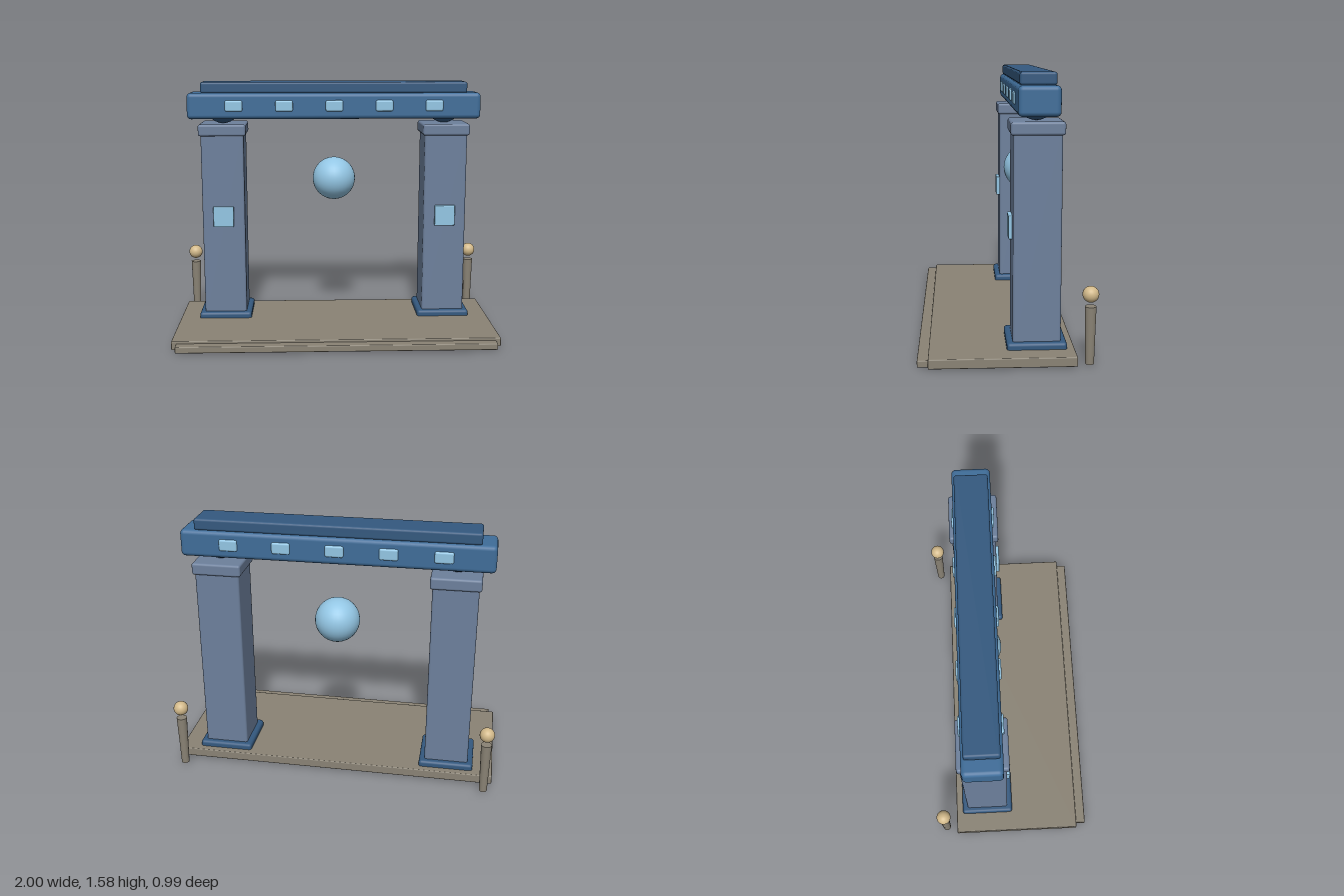
import * as THREE from 'three';
import { RoundedBoxGeometry } from 'three/addons/geometries/RoundedBoxGeometry.js';

const mat = (color) => new THREE.MeshStandardMaterial({ color });

export function createModel() {
  const group = new THREE.Group();
  const stone = mat(0x8a8375), pillar = mat(0x6d809c), beam = mat(0x3f6d99);
  const trim = mat(0x34597f), glow = mat(0x93c6e4), brass = mat(0xd2b98a), rug = mat(0x6f694c);

  const add = (name, geometry, material, x, y, z) => {
    const mesh = new THREE.Mesh(geometry, material);
    mesh.name = name;
    mesh.position.set(x, y, z);
    group.add(mesh);
    return mesh;
  };
  // Rounded block given by its limits on each axis
  const block = (name, material, [x0, x1], [y0, y1], [z0, z1], r = 0.008) =>
    add(name, new RoundedBoxGeometry(x1 - x0, y1 - y0, z1 - z0, 3, r), material,
      (x0 + x1) / 2, (y0 + y1) / 2, (z0 + z1) / 2);
  const ball = (name, material, r, x, y, z) =>
    add(name, new THREE.SphereGeometry(r, 32, 20), material, x, y, z);

  const Z = -0.17; // depth of the gate's centre line

  // Platform, front step and the inlay showing beneath
  block('platform', stone, [-1, 1], [0.01, 0.065], [-0.38, 0.43], 0.006);
  block('frontStep', stone, [-0.97, 0.97], [0.01, 0.05], [0.37, 0.49], 0.006);
  block('undersideInlay', rug, [-0.48, 0.42], [0.002, 0.03], [-0.04, 0.29], 0.002);

  for (const s of [-1, 1]) {
    const cx = 0.71 * s;
    const span = (w) => [cx - w / 2, cx + w / 2];
    const depth = (d) => [Z - d / 2, Z + d / 2];

    // Column with base, capital and glowing front panel
    block('columnFooting', trim, span(0.24), [0.002, 0.08], [-0.15, -0.03], 0.004);
    block('columnBase', trim, span(0.335), [0.04, 0.102], depth(0.335), 0.018);
    block('column', pillar, span(0.27), [0.09, 1.26], depth(0.268), 0.014);
    block('capital', pillar, span(0.298), [1.25, 1.323], depth(0.296), 0.014);
    block('columnPanel', glow, span(0.13), [0.668, 0.8], [-0.05, -0.015], 0.006);

    // Round bearing between capital and lintel
    ball('bearing', trim, 0.112, cx, 1.433, Z);

    // Rear lamp post
    add('lampPost', new THREE.CylinderGeometry(0.032, 0.024, 0.325, 20), stone, 0.95 * s, 0.1725, -0.45);
    ball('lampBall', brass, 0.045, 0.95 * s, 0.402, -0.45);
  }

  // Lintel and its top slab
  block('lintel', beam, [-0.93, 0.93], [1.353, 1.517], [-0.285, -0.056], 0.026);
  block('topSlab', trim, [-0.843, 0.843], [1.515, 1.585], [-0.27, -0.07], 0.014);

  // Inset lights along both faces of the lintel
  for (let i = -2; i <= 2; i++) {
    const x = i * 0.317;
    for (const z of [-0.06, -0.28])
      block('lintelLight', glow, [x - 0.055, x + 0.055], [1.402, 1.472], [z - 0.016, z + 0.016], 0.012);
  }

  // Floating orb
  ball('orb', glow, 0.138, 0, 0.96, Z);

  return group;
}
